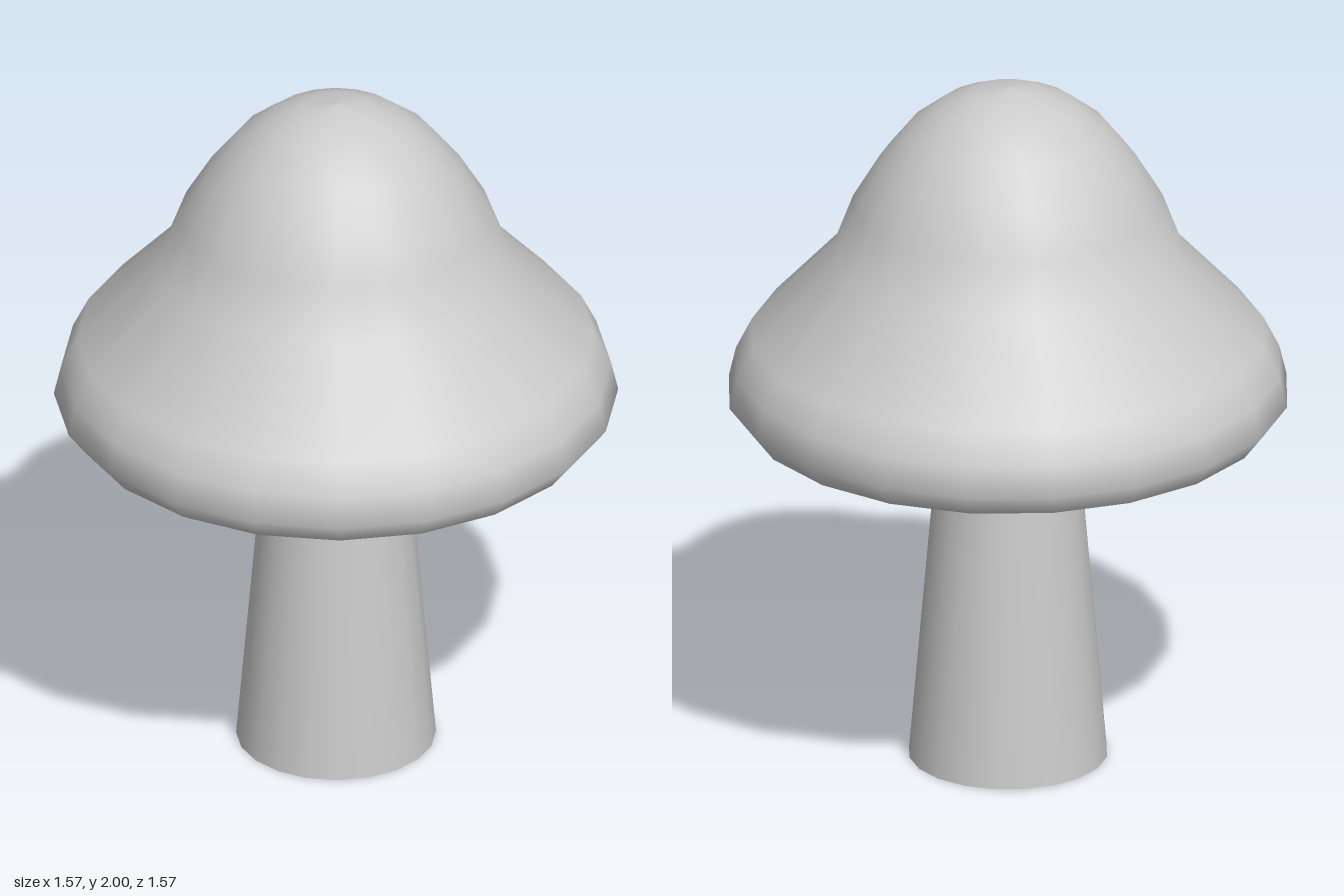
import * as THREE from 'three';

const SIDES = 20;

export function createModel() {
  const material = new THREE.MeshStandardMaterial({ color: 0xcccccc });
  const group = new THREE.Group();
  group.name = 'mushroom';

  const add = (name, geometry, y = 0) => {
    const mesh = new THREE.Mesh(geometry, material);
    mesh.name = name;
    mesh.position.y = y;
    group.add(mesh);
    return mesh;
  };

  // Tapered stem, closed at the base and meeting the underside of the cap
  add('stem', new THREE.CylinderGeometry(0.19, 0.278, 1.02, SIDES), 0.51);

  // Bell-shaped cap: rolled rim, sloping skirt and domed crown (radius, height)
  const profile = [
    [0.735, 1.02], [0.785, 1.085], [0.765, 1.17], [0.72, 1.26],
    [0.49, 1.505], [0.435, 1.65], [0.36, 1.775], [0.28, 1.875],
    [0.19, 1.945], [0.1, 1.985], [0, 2],
  ].map(([r, y]) => new THREE.Vector2(r, y));
  add('cap', new THREE.LatheGeometry(profile, SIDES));

  // Flat underside of the cap, with the same corners as the rim
  const underside = new THREE.CircleGeometry(0.735, SIDES).rotateX(Math.PI / 2);
  add('capUnderside', underside, 1.02);

  return group;
}
